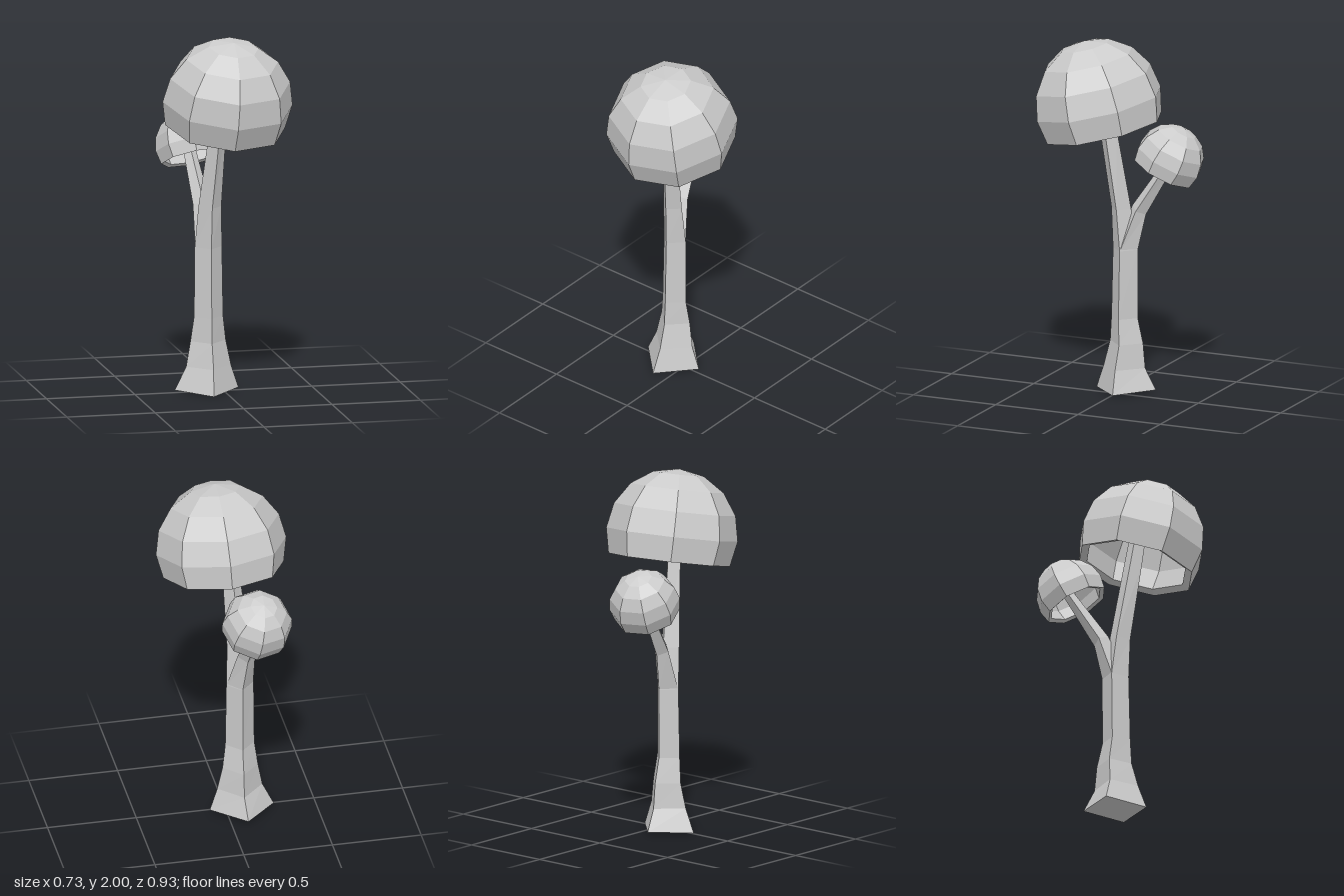
import * as THREE from 'three';

const material = new THREE.MeshStandardMaterial({ color: 0xcccccc, flatShading: true });

// Four-sided stalk lofted through diamond sections [x, y, z, halfX, halfZ, slope along z]
function stalk(name, sections) {
  const corners = [[0, 1], [1, 0], [0, -1], [-1, 0]];
  const positions = [], index = [];
  for (const [x, y, z, hx, hz, slope = 0] of sections) {
    for (const [u, v] of corners) positions.push(x + u * hx, y + v * hz * slope, z + v * hz);
  }
  for (let s = 0; s < sections.length - 1; s++) {
    for (let i = 0; i < 4; i++) {
      const a = s * 4 + i, b = s * 4 + (i + 1) % 4;
      index.push(a, b, b + 4, a, b + 4, a + 4);
    }
  }
  const t = (sections.length - 1) * 4;
  index.push(0, 2, 1, 0, 3, 2, t, t + 1, t + 2, t, t + 2, t + 3);
  const geometry = new THREE.BufferGeometry();
  geometry.setAttribute('position', new THREE.Float32BufferAttribute(positions, 3));
  geometry.setIndex(index);
  geometry.computeVertexNormals();
  const mesh = new THREE.Mesh(geometry, material);
  mesh.name = name;
  return mesh;
}

// Hollow eight-sided dome: inner pole down to the rim, then up the outside
function cap(name, radius, position, spin, tiltX, tiltZ) {
  const steps = [0, 1, 2, 3, 4, 5];
  const point = (r, k) =>
    new THREE.Vector2(k ? r * Math.sin(k * Math.PI / 8) : 0, r * Math.cos(k * Math.PI / 8));
  const profile = [
    ...steps.map(k => point(radius * 0.87, k)),
    ...steps.slice().reverse().map(k => point(radius, k)),
  ];
  const geometry = new THREE.LatheGeometry(profile, 8).rotateY(spin);
  const mesh = new THREE.Mesh(geometry, material);
  mesh.name = name;
  mesh.position.set(...position);
  mesh.rotation.set(tiltX, 0, tiltZ);
  return mesh;
}

export function createModel() {
  const group = new THREE.Group();
  group.name = 'forkedMushroom';

  // Flared trunk continuing into the main stem
  group.add(stalk('trunk', [
    [-0.09, 0.01, -0.02, 0.18, 0.18, -0.055],
    [-0.08, 0.14, -0.015, 0.127, 0.125],
    [-0.08, 0.28, -0.027, 0.1, 0.1],
    [-0.08, 0.42, -0.015, 0.082, 0.08],
    [-0.08, 0.81, -0.02, 0.077, 0.076],
    [-0.077, 1.04, 0.004, 0.065, 0.06],
    [-0.045, 1.5, 0.07, 0.047, 0.052],
    [-0.015, 1.93, 0.13, 0.035, 0.04],
  ]));

  // Side stem leaning backwards
  group.add(stalk('sideStem', [
    [-0.08, 0.81, -0.02, 0.075, 0.075],
    [-0.1, 1.035, -0.095, 0.05, 0.04, 0.6],
    [-0.13, 1.3, -0.257, 0.036, 0.028, 0.5],
    [-0.145, 1.45, -0.345, 0.03, 0.025, 0.5],
  ]));

  group.add(cap('largeCap', 0.365, [0, 1.64, 0.105], -0.055, 0.227, -0.05));
  group.add(cap('smallCap', 0.197, [-0.125, 1.335, -0.265], -0.1, -0.45, 0.12));
  return group;
}
